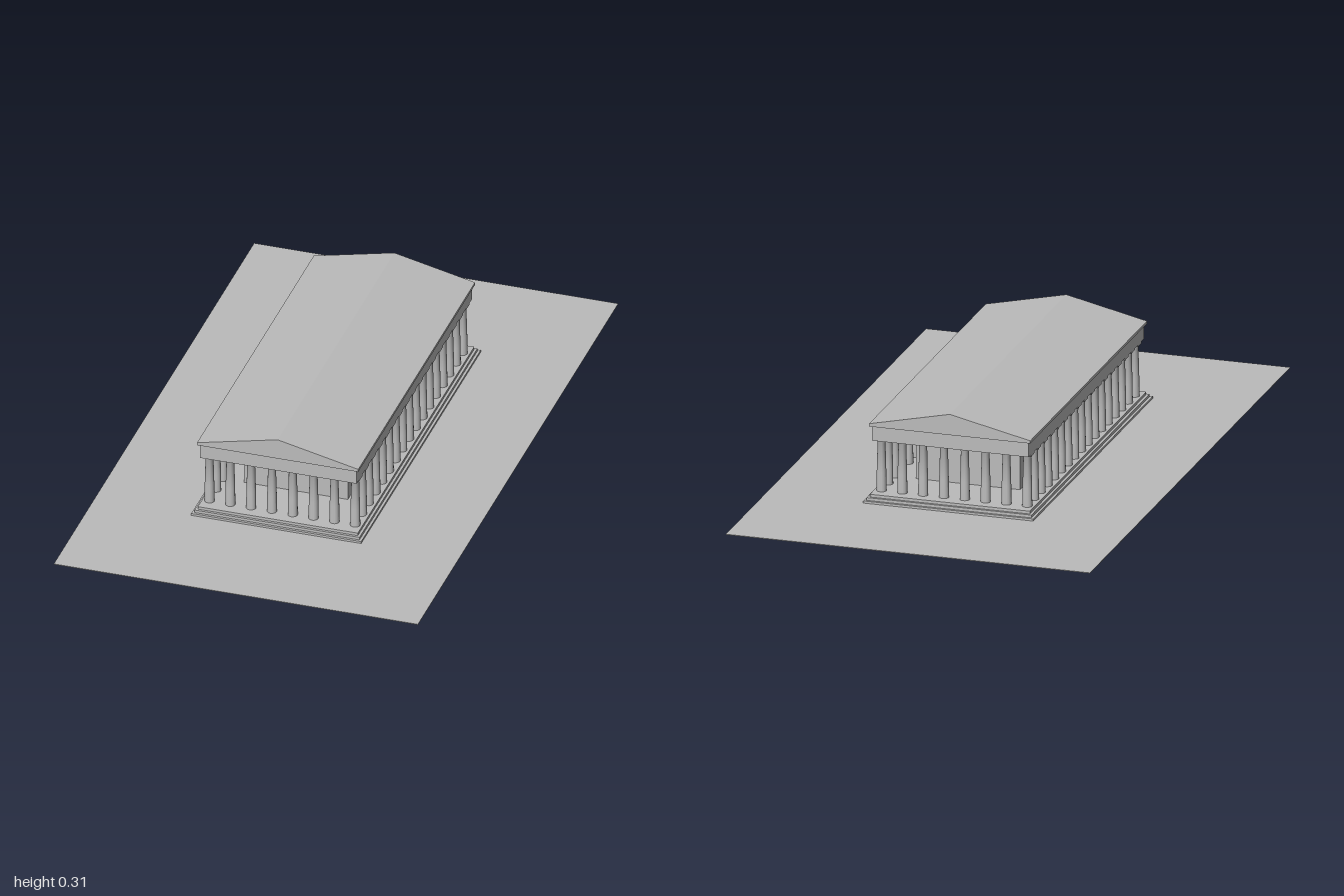
import * as THREE from 'three';
import { toCreasedNormals } from 'three/addons/utils/BufferGeometryUtils.js';

export function createModel() {
  const temple = new THREE.Group();
  temple.name = 'temple';
  const stone = new THREE.MeshStandardMaterial({ color: 0xbbbbbb });
  stone.name = 'stone grey';

  const add = (name, geometry, x = 0, y = 0, z = 0, parent = temple) => {
    const mesh = new THREE.Mesh(geometry, stone);
    mesh.name = name;
    mesh.position.set(x, y, z);
    parent.add(mesh);
    return mesh;
  };
  // Box given by half width, half length and its bottom and top heights
  const slab = (name, hx, hz, y0, y1) =>
    add(name, new THREE.BoxGeometry(hx * 2, y1 - y0, hz * 2), 0, (y0 + y1) / 2, 0);

  // Ground and stepped base
  slab('ground', 0.585, 1, 0, 0.002);
  const stepHeight = 0.009;
  for (let i = 0; i < 3; i++) {
    slab('step' + (i + 1), 0.273 - i * 0.008, 0.597 - i * 0.008, i * stepHeight, (i + 1) * stepHeight);
  }

  // Inner chamber and the beam resting on the columns
  slab('innerChamber', 0.167, 0.4, 0.027, 0.2);
  slab('entablature', 0.252, 0.577, 0.2, 0.247);

  // Gabled roof with a low eave
  const gable = new THREE.Shape();
  gable.moveTo(-0.259, 0.247);
  gable.lineTo(0.259, 0.247);
  gable.lineTo(0.259, 0.256);
  gable.lineTo(0, 0.314);
  gable.lineTo(-0.259, 0.256);
  gable.closePath();
  const roof = new THREE.ExtrudeGeometry(gable, { depth: 1.166, bevelEnabled: false });
  add('roof', roof, 0, 0, -0.583);

  // Tapered column with a flared capital and a square top plate
  const profile = [[0.0155, 0], [0.0148, 0.06], [0.0122, 0.155], [0.0135, 0.16], [0.0168, 0.167]]
    .map(([r, y]) => new THREE.Vector2(r, y));
  const shaft = toCreasedNormals(new THREE.LatheGeometry(profile, 16), 0.6);
  const plate = new THREE.BoxGeometry(0.035, 0.006, 0.035);
  const columns = new THREE.Group();
  columns.name = 'colonnade';
  temple.add(columns);

  // Eight columns across and seventeen along, round the edge only
  const across = 8, along = 17, gap = 0.0669;
  for (let i = 0; i < across; i++) {
    for (let j = 0; j < along; j++) {
      if (i > 0 && i < across - 1 && j > 0 && j < along - 1) continue;
      const column = new THREE.Group();
      column.name = 'column';
      column.position.set((i - (across - 1) / 2) * gap, 0.027, (j - (along - 1) / 2) * gap);
      add('shaft', shaft, 0, 0, 0, column);
      add('capitalPlate', plate, 0, 0.17, 0, column);
      columns.add(column);
    }
  }
  return temple;
}
